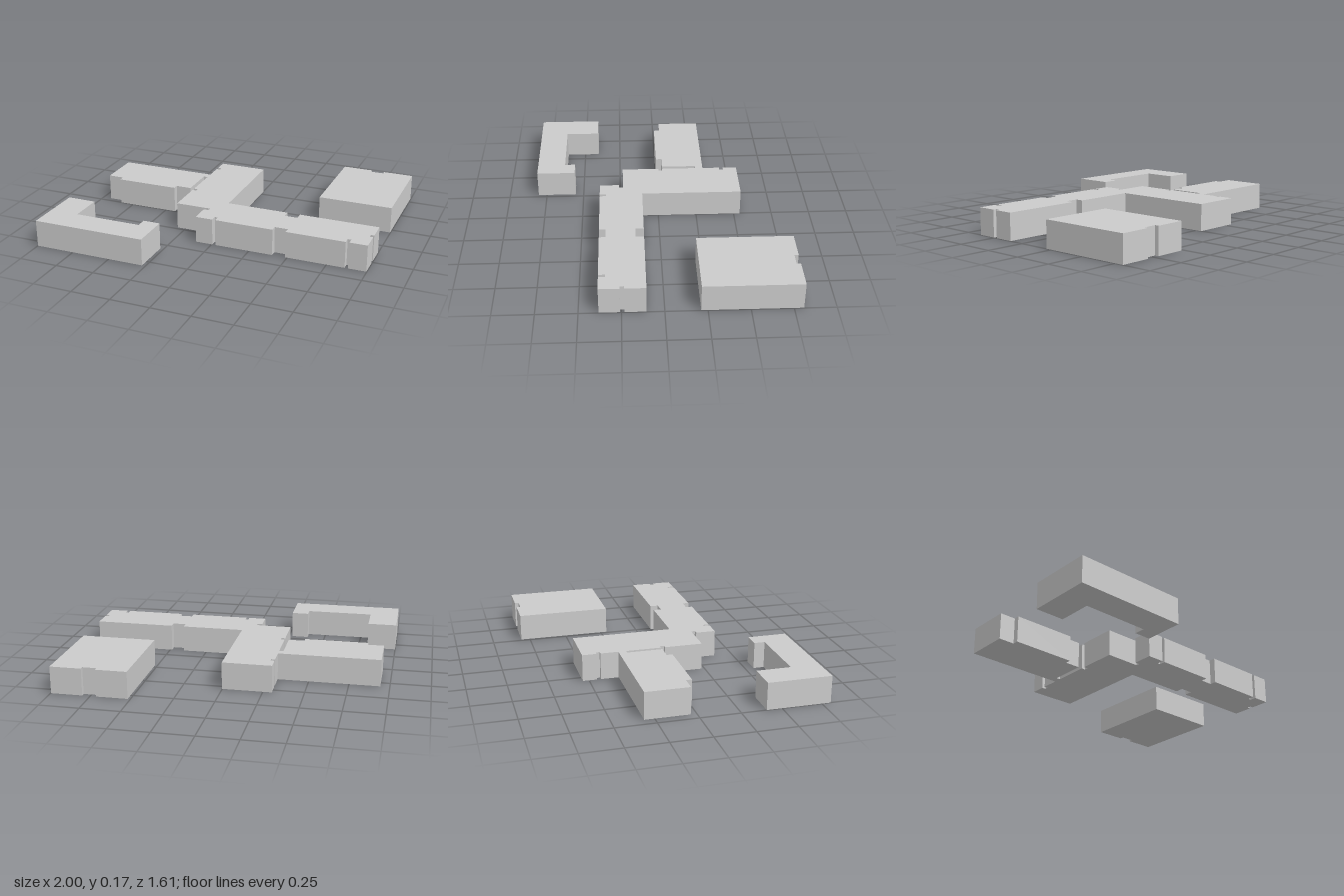
import * as THREE from 'three';

const HEIGHT = 0.171;

// Extrudes a floor plan, given as [x, z] corners, up from the ground
function building(name, plan, material) {
  const shape = new THREE.Shape(plan.map(([x, z]) => new THREE.Vector2(x, -z)));
  const geometry = new THREE.ExtrudeGeometry(shape, { depth: HEIGHT, bevelEnabled: false });
  geometry.rotateX(-Math.PI / 2);
  const mesh = new THREE.Mesh(geometry, material);
  mesh.name = name;
  return mesh;
}

export function createModel() {
  const group = new THREE.Group();
  group.name = 'buildingComplex';
  const material = new THREE.MeshStandardMaterial({ color: 0xcccccc, flatShading: true });

  const plans = {
    mainBuilding: [
      // central wing, back and left-hand side
      [-0.305, -0.54], [0.003, -0.54], [0.003, 0.105],
      // long front wing with recessed bays
      [0.403, 0.105], [0.403, 0.157], [0.487, 0.157], [0.487, 0.105], [0.997, 0.105],
      [0.997, 0.232], [0.975, 0.232], [0.975, 0.258], [0.997, 0.258], [0.997, 0.382],
      [0.885, 0.382], [0.885, 0.34], [0.863, 0.34], [0.863, 0.382],
      [0.487, 0.382], [0.487, 0.34], [0.403, 0.34], [0.403, 0.382],
      [0.025, 0.382], [0.025, 0.34], [0.005, 0.34], [0.005, 0.382],
      [-0.107, 0.382], [-0.107, 0.255], [-0.075, 0.255], [-0.075, 0.23],
      // central wing, front part
      [-0.305, 0.23], [-0.305, -0.012], [-0.28, -0.012], [-0.28, -0.037], [-0.305, -0.037],
      // side wing behind the narrow gap
      [-0.305, -0.262], [-0.332, -0.262], [-0.332, -0.037], [-0.433, -0.037], [-0.433, 0],
      [-0.84, 0], [-0.84, -0.037], [-0.942, -0.037], [-0.942, -0.312], [-0.305, -0.312],
      // small notch near the back
      [-0.305, -0.425], [-0.28, -0.425], [-0.28, -0.45], [-0.305, -0.45],
    ],
    squareBuilding: [
      [0.517, -0.808], [0.713, -0.808], [0.713, -0.782], [0.8, -0.782], [0.8, -0.808],
      [0.997, -0.808], [0.997, -0.21], [0.517, -0.21],
    ],
    courtyardBuilding: [
      [-1, 0.405], [-0.813, 0.405], [-0.813, 0.623], [-0.382, 0.623],
      [-0.382, 0.555], [-0.273, 0.555], [-0.273, 0.806], [-1, 0.806],
    ],
  };

  for (const [name, plan] of Object.entries(plans)) group.add(building(name, plan, material));
  return group;
}
